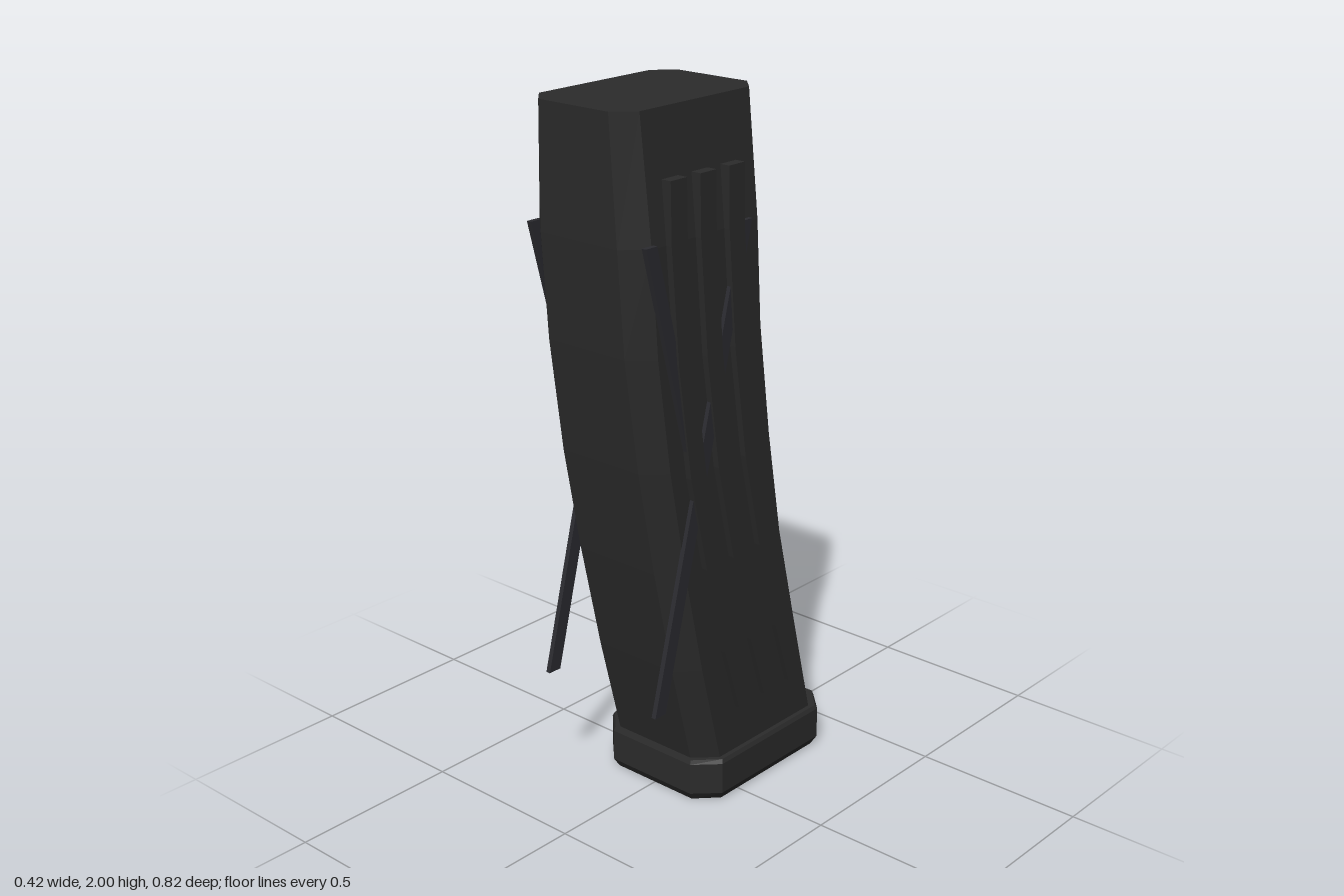
import * as THREE from 'three';

// Solid through horizontal rings, listed bottom to top; corners run counter-clockwise seen from above
function loft(name, rings, material) {
  const pos = [], idx = [], n = rings[0].length;
  rings.forEach(r => r.forEach(p => pos.push(...p)));
  for (let s = 0; s < rings.length - 1; s++) {
    for (let i = 0; i < n; i++) {
      const a = s * n + i, b = s * n + (i + 1) % n;
      idx.push(a, b, b + n, a, b + n, a + n);
    }
  }
  const top = (rings.length - 1) * n;
  for (let i = 1; i < n - 1; i++) {
    idx.push(0, i + 1, i, top, top + i, top + i + 1);
  }
  const indexed = new THREE.BufferGeometry();
  indexed.setAttribute('position', new THREE.Float32BufferAttribute(pos, 3));
  indexed.setIndex(idx);
  const geometry = indexed.toNonIndexed();
  geometry.computeVertexNormals();
  const mesh = new THREE.Mesh(geometry, material);
  mesh.name = name;
  return mesh;
}

// Rectangle with cut corners: half width w, end face half width e, cut depth c
const octagon = (y, front, back, w, e, c) => [
  [w, y, front - c], [w, y, back + c], [e, y, back], [-e, y, back],
  [-w, y, back + c], [-w, y, front - c], [-e, y, front], [e, y, front],
];

const rectangle = (y, front, back, x0, x1) => [
  [x1, y, front], [x1, y, back], [x0, y, back], [x0, y, front],
];

// Strip lying on one side wall; path holds [y, front z], bottom to top
function sideStrip(name, path, width, inner, outer, side, material) {
  const x0 = side > 0 ? inner : -outer, x1 = side > 0 ? outer : -inner;
  return loft(name, path.map(([y, z]) => rectangle(y, z, z - width, x0, x1)), material);
}

export function createModel() {
  const model = new THREE.Group();
  model.name = 'curvedMagazine';
  const casing = new THREE.MeshStandardMaterial({ color: 0x2b2b2b, flatShading: true });
  casing.name = 'charcoal casing';
  const steel = new THREE.MeshStandardMaterial({ color: 0x2b2b30, flatShading: true });
  steel.name = 'dark steel';

  // Curved body, tapering at the top: y, front z, back z, half width, end half width, corner cut
  model.add(loft('body', [
    [0.1, 0.124, -0.393, 0.194, 0.135, 0.058],
    [0.43, 0.208, -0.31, 0.194, 0.135, 0.058],
    [0.745, 0.278, -0.233, 0.194, 0.135, 0.058],
    [1.05, 0.336, -0.18, 0.194, 0.135, 0.058],
    [1.37, 0.381, -0.137, 0.194, 0.133, 0.058],
    [1.66, 0.402, -0.119, 0.194, 0.132, 0.058],
    [2, 0.412, -0.104, 0.17, 0.118, 0.054],
  ].map(s => octagon(...s)), casing));

  // Base plate with a bevelled underside
  model.add(loft('basePlate', [
    octagon(0, 0.132, -0.397, 0.198, 0.14, 0.06),
    octagon(0.025, 0.147, -0.412, 0.212, 0.147, 0.064),
    octagon(0.118, 0.147, -0.412, 0.212, 0.147, 0.064),
    octagon(0.13, 0.142, -0.407, 0.207, 0.145, 0.064),
  ], casing));

  const ribCurve = [[0.265, 0.01], [0.465, 0.074], [0.74, 0.153], [1.02, 0.217],
    [1.34, 0.264], [1.66, 0.291], [1.825, 0.294]];

  for (const side of [1, -1]) {
    const label = side > 0 ? 'left' : 'right';
    // Three curved ribs
    for (let i = 0; i < 3; i++) {
      const path = ribCurve.map(([y, z]) => [y, z - i * 0.11]);
      model.add(sideStrip(`${label}Rib${i + 1}`, path, 0.06, 0.165, 0.212, side, casing));
    }
    // Crossed slanting bars
    model.add(sideStrip(`${label}ForwardBar`, [[0.37, 0.354], [1.67, 0.015]], 0.041, 0.192, 0.206, side, steel));
    model.add(sideStrip(`${label}RearwardBar`, [[0.37, 0.038], [1.67, 0.378]], 0.041, 0.192, 0.206, side, steel));
  }
  return model;
}
